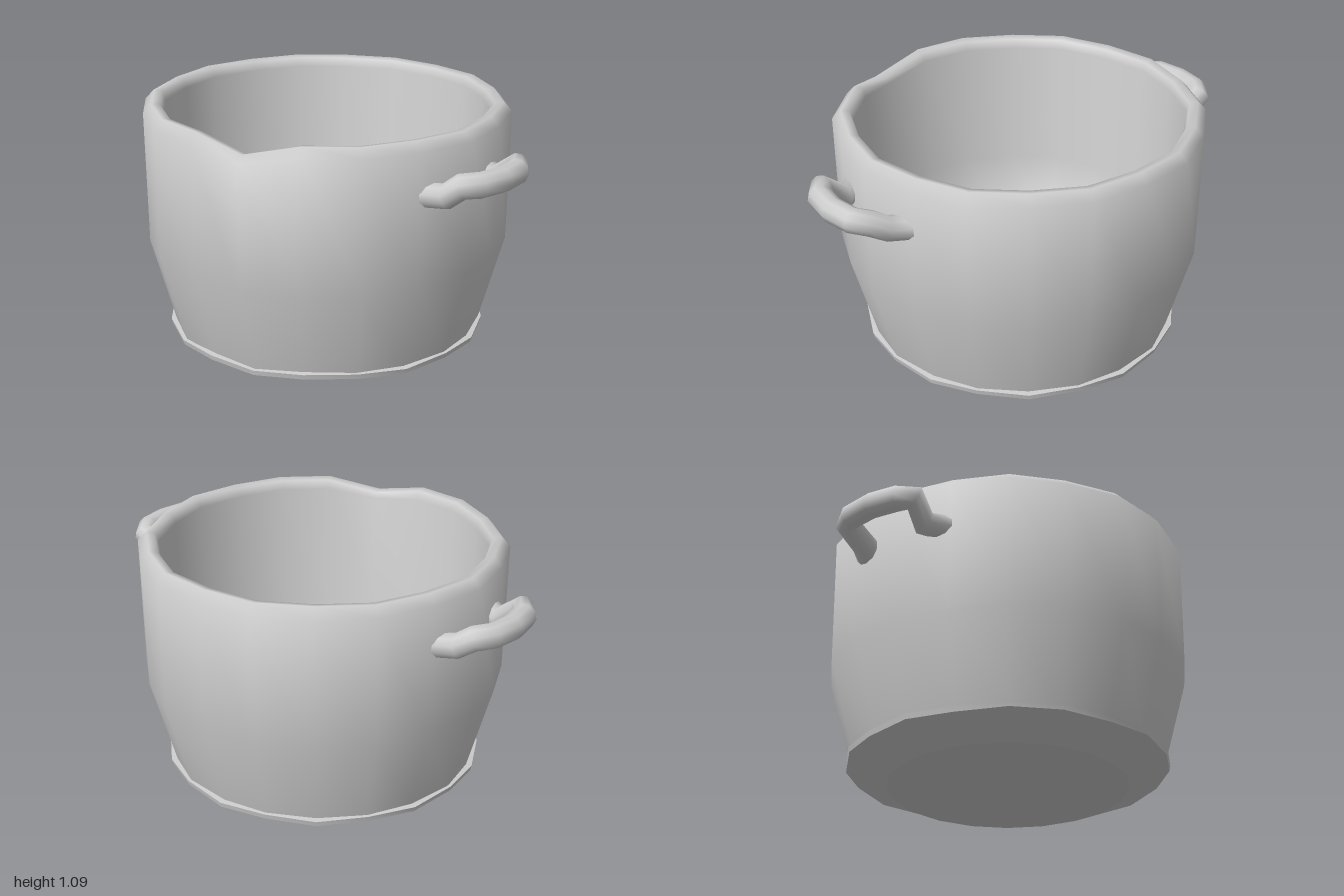
import * as THREE from 'three';
import { toCreasedNormals } from 'three/addons/utils/BufferGeometryUtils.js';

const SIDES = 20;
const material = new THREE.MeshStandardMaterial({ color: 0xcccccc });

// Lathe a profile of [radius, y] pairs, then adjust each vertex by rule(p, k), k = side index
function turned(name, profile, crease, rule) {
  const geo = new THREE.LatheGeometry(profile.map(([r, y]) => new THREE.Vector2(r, y)), SIDES);
  const pos = geo.attributes.position;
  const p = new THREE.Vector3();
  for (let i = 0; i < pos.count; i++) {
    const k = Math.floor(i / profile.length) % SIDES;
    p.fromBufferAttribute(pos, i);
    rule(p, k);
    pos.setXYZ(i, p.x, p.y, p.z);
  }
  const mesh = new THREE.Mesh(toCreasedNormals(geo, crease), material);
  mesh.name = name;
  return mesh;
}

// Curve that passes through its points with one ring per point
class BentPath extends THREE.Curve {
  constructor(points) {
    super();
    this.points = points;
  }
  getPoint(t, target = new THREE.Vector3()) {
    const n = this.points.length - 1;
    const i = Math.min(Math.floor(t * n + 1e-6), n - 1);
    return target.lerpVectors(this.points[i], this.points[i + 1], t * n - i);
  }
  getPointAt(t, target) {
    return this.getPoint(t, target);
  }
  getTangentAt(t, target = new THREE.Vector3()) {
    const n = this.points.length - 1;
    const i = Math.round(t * n);
    const dir = (a, b) => this.points[b].clone().sub(this.points[a]).normalize();
    target.set(0, 0, 0);
    if (i > 0) target.add(dir(i - 1, i));
    if (i < n) target.add(dir(i, i + 1));
    return target.normalize();
  }
}

// Loop handle on one side; side = 1 for left (+x), -1 for right
function handle(side) {
  const half = [
    [0.708, 0.865, 0.21], [0.8, 0.865, 0.158], [0.888, 0.93, 0.177], [0.93, 0.93, 0.115],
  ];
  const path = [...half, [0.947, 0.93, 0], ...half.map(([x, y, z]) => [x, y, -z]).reverse()]
    .map(([x, y, z]) => new THREE.Vector3(x * side, y, z * side));
  const geo = new THREE.TubeGeometry(new BentPath(path), path.length - 1, 0.053, 10);
  const mesh = new THREE.Mesh(geo, material);
  mesh.name = side > 0 ? 'leftHandle' : 'rightHandle';
  return mesh;
}

export function createModel() {
  const pot = new THREE.Group();
  pot.name = 'cookingPot';

  // Walls, broad rounded rim and interior, with one rim corner dipped as a pouring lip
  const wall = [
    [0.675, 0.085], [0.783, 0.48], [0.79, 1.05], [0.752, 1.09],
    [0.715, 1.083], [0.702, 1.045], [0.69, 0.48], [0.57, 0.13], [0.44, 0.08], [0, 0.08],
  ];
  pot.add(turned('potBody', wall, 1.2, (p, k) => {
    // Every second corner sits slightly further in
    const s = k % 2 ? 1.006 : 0.991;
    p.x *= s;
    p.z *= s;
    if (k === 1 && p.y > 1) p.y -= p.y > 1.06 ? 0.05 : 0.036;
  }));

  // Bevelled base plate with a slightly wavy edge; the wave shifts by one corner at the front
  const base = [[0, 0], [0.52, 0], [0.692, 0.075], [0.697, 0.097], [0.66, 0.102]];
  pot.add(turned('basePlate', base, 0.38, (p, k) => {
    const atFront = Math.abs(k - 10) >= 8;
    const high = atFront ? k % 2 === 0 : k % 2 === 1;
    if (p.y > 0.01) p.y += high ? 0.005 : -0.005;
  }));

  pot.add(handle(1), handle(-1));
  return pot;
}
